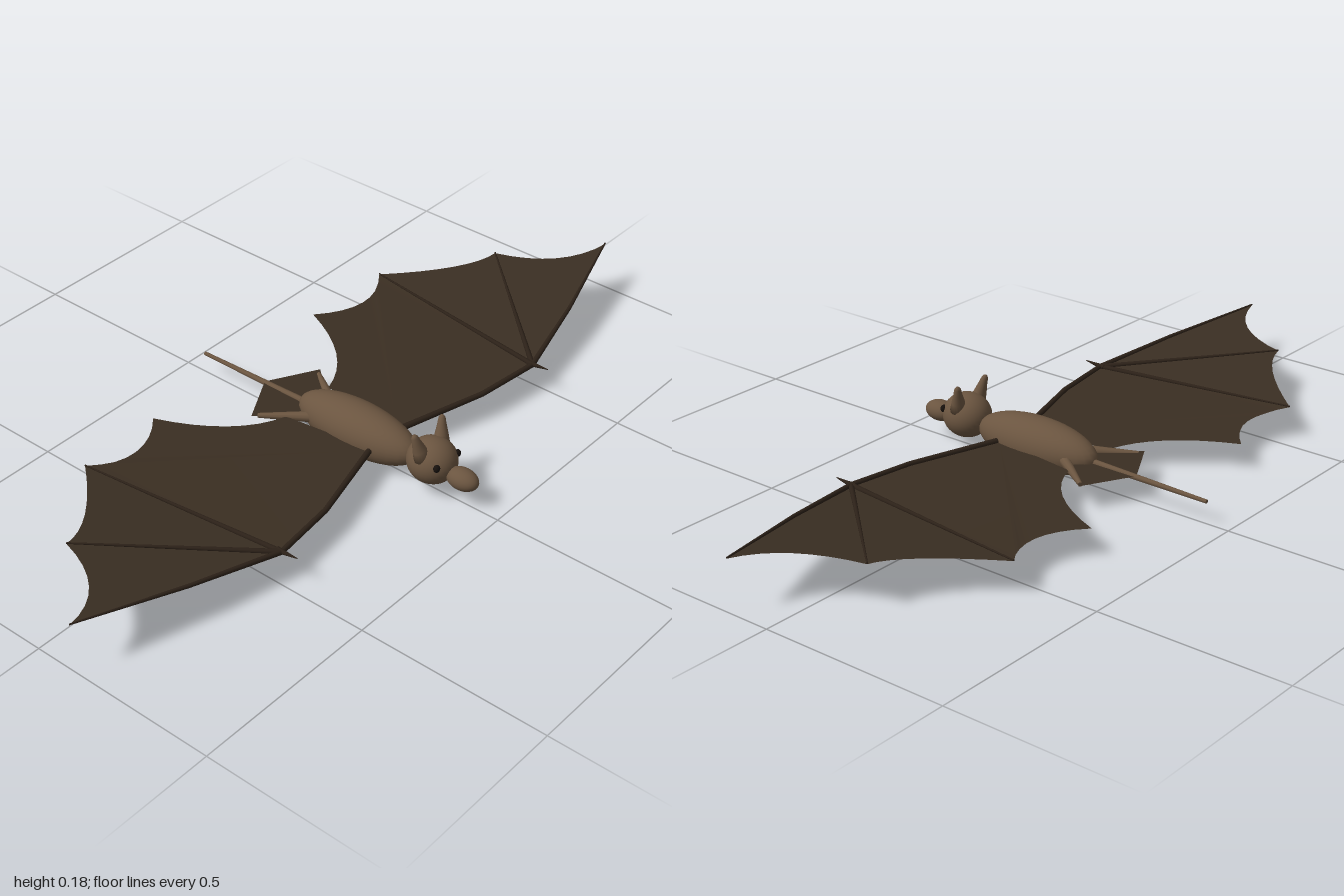
import * as THREE from 'three';

const mat = (name, color, side = THREE.FrontSide) => {
  const m = new THREE.MeshStandardMaterial({ color, side });
  m.name = name;
  return m;
};

// Wings are level to the wrist, then rise toward the tip
const wingY = (x) => 0.066 + 0.008 * Math.min(1, x / 0.48) + 0.115 * Math.max(0, x - 0.48);

export function createModel() {
  const bat = new THREE.Group();
  bat.name = 'bat';
  const fur = mat('brown fur', 0x6b5540);
  const skin = mat('wing skin', 0x3a2e22, THREE.DoubleSide);
  const bone = mat('dark bone', 0x2c2118);
  const black = mat('eye black', 0x17110d);

  const add = (parent, name, geometry, material) => {
    const mesh = new THREE.Mesh(geometry, material);
    mesh.name = name;
    parent.add(mesh);
    return mesh;
  };
  const ellipsoid = (parent, name, pos, radii, material) => {
    const mesh = add(parent, name, new THREE.SphereGeometry(1, 32, 20), material);
    mesh.position.set(...pos);
    mesh.scale.set(...radii);
    return mesh;
  };
  // Tapered rod between two points
  const rod = (parent, name, a, b, r0, r1, material) => {
    const from = new THREE.Vector3(...a), dir = new THREE.Vector3(...b).sub(from);
    const mesh = add(parent, name, new THREE.CylinderGeometry(r1, r0, dir.length(), 10), material);
    mesh.position.copy(from).addScaledVector(dir, 0.5);
    mesh.quaternion.setFromUnitVectors(new THREE.Vector3(0, 1, 0), dir.normalize());
    return mesh;
  };
  // Thin skin from a plan outline: [x, z] is a corner, [cx, cz, x, z] a curve
  const sheet = (parent, name, outline, height) => {
    const shape = new THREE.Shape();
    outline.forEach((p, i) => {
      if (i === 0) shape.moveTo(p[0], -p[1]);
      else if (p.length === 2) shape.lineTo(p[0], -p[1]);
      else shape.quadraticCurveTo(p[0], -p[1], p[2], -p[3]);
    });
    const g = new THREE.ShapeGeometry(shape, 8);
    const pos = g.attributes.position;
    for (let i = 0; i < pos.count; i++) {
      const x = pos.getX(i), z = -pos.getY(i);
      pos.setXYZ(i, x, height(x), z);
    }
    g.computeVertexNormals();
    return add(parent, name, g, skin);
  };

  // Body, head and snout
  ellipsoid(bat, 'body', [0, 0.068, 0.073], [0.067, 0.067, 0.182], fur);
  ellipsoid(bat, 'head', [0, 0.083, 0.302], [0.061, 0.058, 0.064], fur);
  ellipsoid(bat, 'snout', [0, 0.07, 0.393], [0.03, 0.027, 0.044], fur);

  // Tail and the skin at its base
  rod(bat, 'tail', [0, 0.064, -0.08], [0, 0.058, -0.437], 0.009, 0.005, fur);
  sheet(bat, 'tailSkin', [[0, -0.06], [0.06, -0.08], [0.13, -0.16], [0, -0.232],
    [-0.13, -0.16], [-0.06, -0.08]], () => 0.064);

  // Wing plan points
  const wrist = [0.48, 0.248], tip = [1, 0.11], second = [0.8, -0.11], third = [0.55, -0.31];
  const at = ([x, z], lift = 0.002) => [x, wingY(x) + lift, z];

  for (const side of [1, -1]) {
    const half = new THREE.Group();
    half.name = side > 0 ? 'leftSide' : 'rightSide';
    half.scale.x = side;
    bat.add(half);

    // Wing panels with scalloped trailing edges
    sheet(half, 'innerWing', [[0.05, 0.155], [0.3, 0.225], wrist, third,
      [0.425, -0.21, 0.3, -0.33], [0.22, -0.13, 0.08, -0.09], [0.065, 0.02]], wingY);
    sheet(half, 'middleWing', [wrist, second, [0.705, -0.12, ...third]], wingY);
    sheet(half, 'outerWing', [wrist, [0.72, 0.192], tip, [0.85, 0.08, ...second]], wingY);

    // Arm, finger bones and thumb
    rod(half, 'upperArm', at([0.04, 0.15]), at([0.3, 0.225]), 0.008, 0.007, bone);
    rod(half, 'forearm', at([0.3, 0.225]), at(wrist), 0.007, 0.007, bone);
    rod(half, 'firstFinger', at(wrist), at([0.72, 0.192]), 0.007, 0.005, bone);
    rod(half, 'firstFingerEnd', at([0.72, 0.192]), at(tip), 0.005, 0.002, bone);
    rod(half, 'secondFinger', at(wrist), at(second), 0.007, 0.002, bone);
    rod(half, 'thirdFinger', at(wrist), at(third), 0.007, 0.002, bone);
    rod(half, 'thumb', at([0.48, 0.235]), [0.48, 0.082, 0.295], 0.008, 0.001, bone);

    // Leg
    rod(half, 'leg', [0.04, 0.066, -0.045], [0.115, 0.061, -0.152], 0.014, 0.006, fur);

    // Ear: rounded taper leaning outward
    const profile = [[0, 0], [0.023, 0], [0.018, 0.025], [0.012, 0.05], [0.009, 0.066], [0.005, 0.072], [0, 0.074]];
    const ear = add(half, 'ear', new THREE.LatheGeometry(
      profile.map(([x, y]) => new THREE.Vector2(x, y)), 16), fur);
    ear.position.set(0.036, 0.108, 0.3);
    ear.rotation.set(-0.2, 0, -0.25);
    ear.scale.z = 0.9;

    // Eye
    ellipsoid(half, 'eye', [0.04, 0.1, 0.346], [0.009, 0.01, 0.008], black);
  }
  return bat;
}
